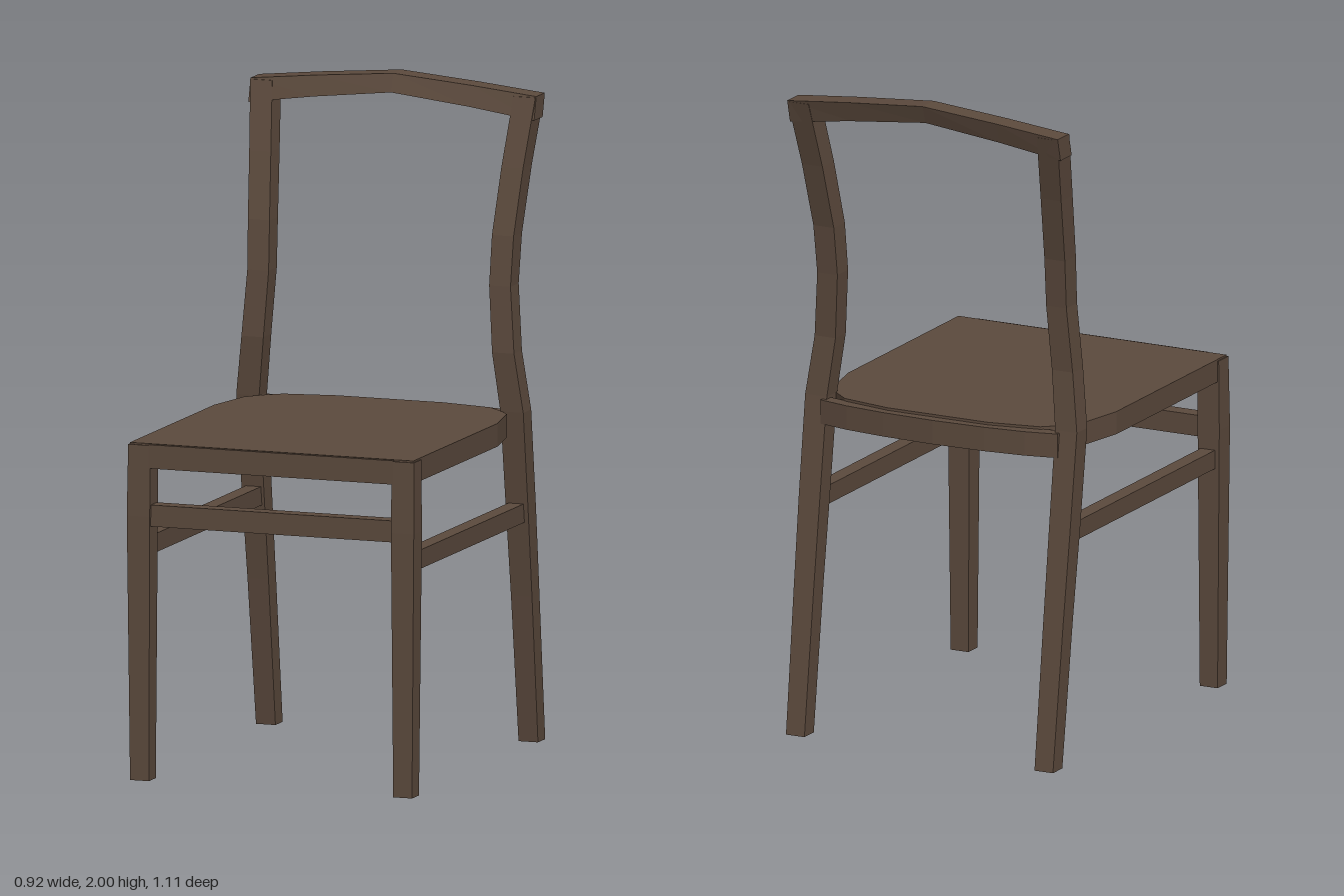
import * as THREE from 'three';

const wood = new THREE.MeshStandardMaterial({ color: 0x5c4a3d, flatShading: true });

// Joins four-cornered cross-sections into a closed, flat-sided bar
function loft(rings) {
  const pos = [];
  const quad = (a, b, c, d) => [a, b, c, a, c, d].forEach((p) => pos.push(...p));
  for (let i = 0; i < rings.length - 1; i++) {
    const r = rings[i], n = rings[i + 1];
    for (let k = 0; k < 4; k++) quad(r[k], r[(k + 1) % 4], n[(k + 1) % 4], n[k]);
  }
  const first = rings[0];
  quad(first[3], first[2], first[1], first[0]);
  quad(...rings[rings.length - 1]);
  const geo = new THREE.BufferGeometry();
  geo.setAttribute('position', new THREE.Float32BufferAttribute(pos, 3));
  geo.computeVertexNormals();
  return geo;
}

// Upright bar: sections are [y, xInner, xOuter, zBack, zFront]; side is +1 or -1
function upright(sections, side) {
  return loft(sections.map(([y, xi, xo, z0, z1]) => {
    const x0 = Math.min(side * xi, side * xo), x1 = Math.max(side * xi, side * xo);
    return [[x0, y, z1], [x1, y, z1], [x1, y, z0], [x0, y, z0]];
  }));
}

// Symmetric cross bar: half is listed from the centre outwards as
// [x, yBottom, yTop, zBack, zFront, lean], lean shifting the top edge in z
function crossBar(half) {
  const left = half.slice(1).reverse().map(([x, ...rest]) => [-x, ...rest]);
  return loft([...left, ...half].map(([x, y0, y1, z0, z1, lean = 0]) => [
    [x, y0, z0], [x, y1, z0 + lean], [x, y1, z1 + lean], [x, y0, z1],
  ]));
}

export function createModel() {
  const chair = new THREE.Group();
  chair.name = 'chair';
  const add = (name, geo) => {
    const mesh = new THREE.Mesh(geo, wood);
    mesh.name = name;
    chair.add(mesh);
    return mesh;
  };
  const box = (name, x0, x1, y0, y1, z0, z1) =>
    add(name, new THREE.BoxGeometry(x1 - x0, y1 - y0, z1 - z0))
      .position.set((x0 + x1) / 2, (y0 + y1) / 2, (z0 + z1) / 2);

  // Seat panel with a rounded-off back
  const edge = [[0.452, 0.545], [0.452, -0.155], [0.42, -0.315], [0.385, -0.36],
    [0.33, -0.408], [0.17, -0.438]];
  const outline = [...edge, ...edge.map(([x, z]) => [-x, z]).reverse()];
  const seat = new THREE.ExtrudeGeometry(
    new THREE.Shape(outline.map(([x, z]) => new THREE.Vector2(x, -z))),
    { depth: 0.07, bevelEnabled: false });
  seat.rotateX(-Math.PI / 2);
  seat.translate(0, 0.95, 0);
  add('seat', seat);

  // Legs, back posts and side stretchers
  const postSections = [
    [0, 0.388, 0.45, -0.555, -0.495],
    [0.45, 0.387, 0.454, -0.497, -0.435],
    [0.72, 0.386, 0.457, -0.46, -0.395],
    [1.02, 0.385, 0.458, -0.418, -0.352],
    [1.2, 0.365, 0.435, -0.401, -0.335],
    [1.4, 0.352, 0.42, -0.413, -0.345],
    [1.55, 0.355, 0.424, -0.43, -0.36],
    [1.75, 0.368, 0.437, -0.478, -0.405],
    [1.955, 0.385, 0.455, -0.535, -0.46],
  ];
  const legSections = [
    [0, 0.39, 0.45, 0.492, 0.55],
    [0.8, 0.385, 0.458, 0.488, 0.556],
    [1.015, 0.385, 0.456, 0.488, 0.55],
  ];
  for (const [side, label] of [[1, 'left'], [-1, 'right']]) {
    add(label + 'BackPost', upright(postSections, side));
    add(label + 'FrontLeg', upright(legSections, side));
    const [x0, x1] = side > 0 ? [0.395, 0.443] : [-0.443, -0.395];
    box(label + 'SideStretcher', x0, x1, 0.68, 0.737, -0.42, 0.5);
  }

  // Front apron and stretcher
  box('frontApron', -0.39, 0.39, 0.946, 1.018, 0.5, 0.553);
  box('frontStretcher', -0.39, 0.39, 0.77, 0.835, 0.497, 0.547);

  // Bowed rail behind the seat
  add('backSeatRail', crossBar([
    [0, 0.938, 1.012, -0.472, -0.43],
    [0.17, 0.938, 1.012, -0.466, -0.424],
    [0.3, 0.938, 1.012, -0.452, -0.41],
    [0.4, 0.938, 1.012, -0.43, -0.388],
  ]));

  // Arched crest rail
  add('crestRail', crossBar([
    [0, 1.945, 2, -0.518, -0.447, -0.018],
    [0.25, 1.917, 1.979, -0.518, -0.447, -0.018],
    [0.456, 1.888, 1.958, -0.518, -0.447, -0.018],
  ]));
  return chair;
}
